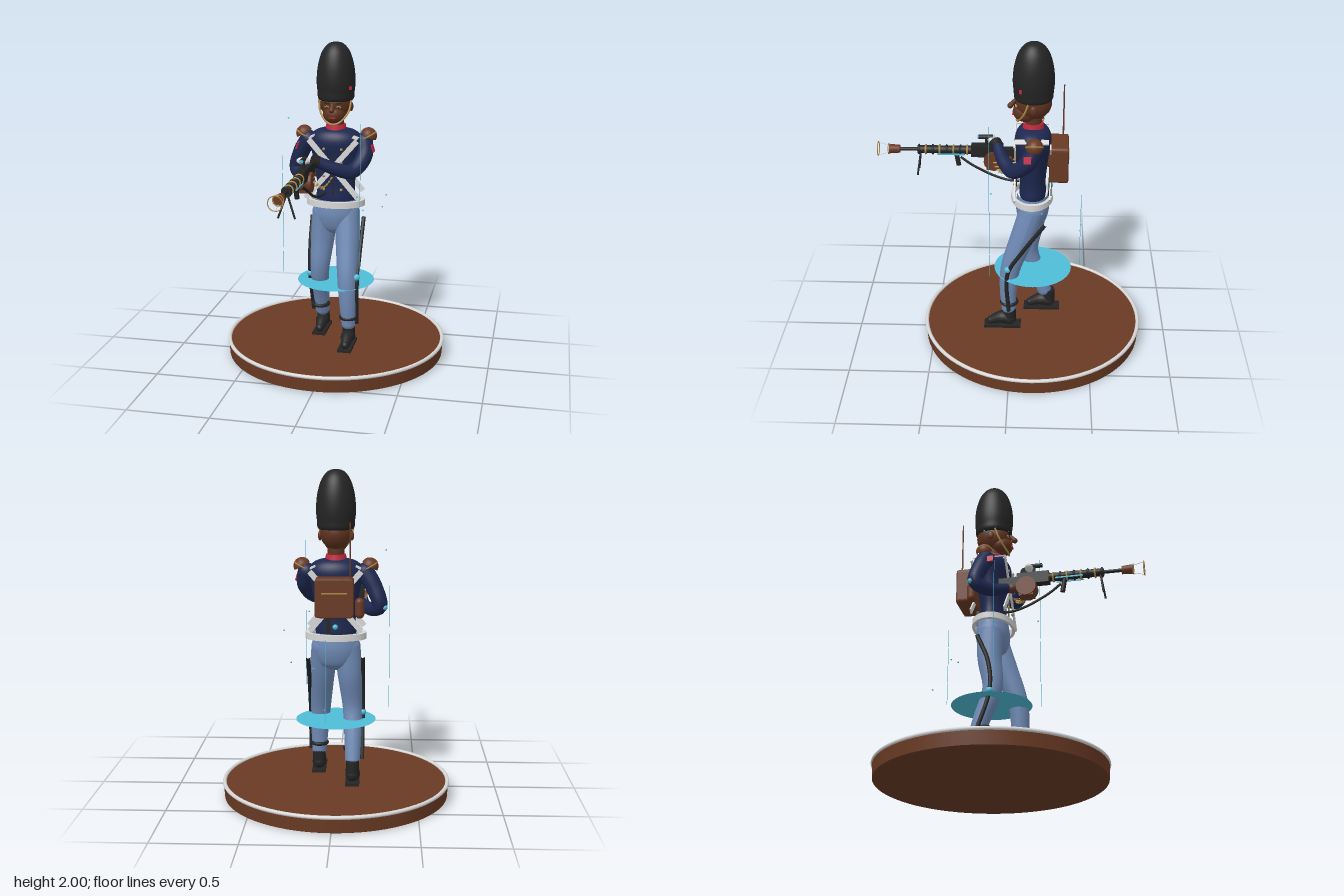
import * as THREE from 'three';

const mat = (name, color, side = THREE.FrontSide) => {
  const m = new THREE.MeshStandardMaterial({ color, side });
  m.name = name;
  return m;
};

export function createModel() {
  const root = new THREE.Group();
  root.name = 'toySoldier';
  const brown = mat('brown', 0x6a3a24, THREE.DoubleSide), silver = mat('silver', 0xd8d8d8);
  const cyan = mat('cyan', 0x4fbdd8, THREE.DoubleSide), navy = mat('navy', 0x1e2850);
  const blue = mat('trouserBlue', 0x6f8ab5), black = mat('black', 0x242424);
  const red = mat('red', 0xc22840), gold = mat('gold', 0xb08a45), skin = mat('skin', 0x5e3320);

  // ---- helpers ----
  const V = (p) => new THREE.Vector3(p[0], p[1], p[2]);
  const add = (name, geo, m, p = [0, 0, 0], r = [0, 0, 0], s = [1, 1, 1]) => {
    const mesh = new THREE.Mesh(geo, m);
    mesh.name = name;
    mesh.position.set(...p);
    mesh.rotation.set(...r);
    mesh.scale.set(...s);
    root.add(mesh);
    return mesh;
  };
  const box = (name, m, size, p, r) => add(name, new THREE.BoxGeometry(...size), m, p, r);
  const ball = (name, m, r, p, s) => add(name, new THREE.SphereGeometry(r, 24, 16), m, p, [0, 0, 0], s);
  const rod = (name, m, a, b, r, r2 = r, sides = 16) => {
    const d = V(b).sub(V(a));
    const mesh = add(name, new THREE.CylinderGeometry(r2, r, d.length(), sides), m);
    mesh.position.copy(V(a).add(V(b)).multiplyScalar(0.5));
    mesh.quaternion.setFromUnitVectors(new THREE.Vector3(0, 1, 0), d.normalize());
    return mesh;
  };
  const tube = (name, m, pts, r) =>
    add(name, new THREE.TubeGeometry(new THREE.CatmullRomCurve3(pts.map(V)), 32, r, 8), m);
  // tapered tube through [x, y, z, radius] points, with rounded ends
  const limb = (name, m, pts) => {
    const curve = new THREE.CatmullRomCurve3(pts.map(V)), seg = 28, rad = 18;
    const geo = new THREE.TubeGeometry(curve, seg, 1, rad);
    const pos = geo.attributes.position, v = new THREE.Vector3();
    for (let i = 0; i <= seg; i++) {
      const c = curve.getPointAt(i / seg), t = curve.getUtoTmapping(i / seg) * (pts.length - 1);
      const k = Math.min(Math.floor(t), pts.length - 2);
      const r = THREE.MathUtils.lerp(pts[k][3], pts[k + 1][3], t - k);
      for (let j = 0; j <= rad; j++) {
        const n = i * (rad + 1) + j;
        v.fromBufferAttribute(pos, n).sub(c).multiplyScalar(r).add(c);
        pos.setXYZ(n, v.x, v.y, v.z);
      }
    }
    geo.computeVertexNormals();
    add(name, geo, m);
    for (const p of [pts[0], pts[pts.length - 1]]) ball(name + 'End', m, p[3], p.slice(0, 3));
  };
  // smooth lathe through [radius, y] points
  const lathe = (name, m, pts, p, s) => {
    const c = new THREE.SplineCurve(pts.map((q) => new THREE.Vector2(...q)));
    const smooth = c.getPoints(32).map((q) => new THREE.Vector2(Math.max(0, q.x), q.y));
    return add(name, new THREE.LatheGeometry(smooth, 40), m, p, [0, 0, 0], s);
  };

  // ---- base and floating disc ----
  const baseZ = -0.135;
  add('base', new THREE.CylinderGeometry(0.695, 0.69, 0.09, 80), brown, [0, 0.05, baseZ]);
  add('baseFoot', new THREE.CylinderGeometry(0.69, 0.68, 0.006, 80), brown, [0, 0.003, baseZ]);
  add('baseRim', new THREE.TorusGeometry(0.69, 0.012, 10, 80), silver, [0, 0.095, baseZ], [Math.PI / 2, 0, 0]);
  add('floatingDisc', new THREE.CircleGeometry(0.245, 64), cyan, [0, 0.478, baseZ], [-Math.PI / 2, 0, 0]);

  // ---- thin upright lines and drifting sparks ----
  for (const [x, z, top] of [[0.2, 0.13, 1.55], [-0.325, -0.05, 1.295], [0.05, -0.43, 1.03]])
    rod('lightLine', cyan, [x, 0.53, z], [x, top, z], 0.0015, 0.0015, 6);
  for (const p of [[0.25, 0.895, -0.42], [0.05, 0.635, -0.525], [0.31, 1.04, -0.19],
    [0.18, 1.1, 0.12], [-0.3, 1.52, -0.12], [0.12, 0.86, -0.43]]) ball('spark', cyan, 0.005, p);

  // ---- legs, boots, side stripes ----
  lathe('pelvis', blue, [[0.04, 0.79], [0.11, 0.83], [0.143, 0.92], [0.13, 1.02]], [0, 0, -0.13], [1, 1, 0.72]);
  limb('leftLeg', blue, [[0.07, 0.93, -0.13, 0.08], [0.085, 0.76, -0.075, 0.076],
    [0.1, 0.52, 0.005, 0.062], [0.108, 0.36, 0.018, 0.054], [0.112, 0.24, 0.015, 0.046]]);
  limb('rightLeg', blue, [[-0.07, 0.93, -0.13, 0.08], [-0.085, 0.76, -0.13, 0.076],
    [-0.1, 0.55, -0.108, 0.06], [-0.105, 0.36, -0.17, 0.052], [-0.105, 0.24, -0.21, 0.046]]);
  const boot = (name, x, z) => {
    rod(name + 'Ankle', black, [x, 0.14, z], [x, 0.24, z], 0.042, 0.04);
    limb(name, black, [[x, 0.155, z, 0.043], [x, 0.16, z + 0.05, 0.042], [x, 0.135, z + 0.12, 0.026]]);
    box(name + 'Sole', black, [0.085, 0.015, 0.235], [x, 0.108, z + 0.045]);
  };
  boot('leftBoot', 0.112, 0.01);
  boot('rightBoot', -0.105, -0.24);
  tube('leftStripe', black, [[0.165, 0.88, -0.21], [0.165, 0.68, -0.07], [0.165, 0.52, 0.02], [0.162, 0.24, 0.015]], 0.013);
  tube('rightStripe', black, [[-0.165, 0.88, -0.19], [-0.165, 0.7, -0.12], [-0.165, 0.52, -0.11], [-0.162, 0.24, -0.2]], 0.013);
  ball('leftKneeStud', cyan, 0.021, [0.163, 0.55, 0.02]);
  ball('rightKneeStud', cyan, 0.021, [-0.165, 0.515, -0.11]);
  add('leftAnkleStrap', new THREE.TorusGeometry(0.048, 0.012, 8, 32), black, [0.11, 0.28, 0.012], [Math.PI / 2, 0, 0]);
  add('rightAnkleStrap', new THREE.TorusGeometry(0.05, 0.012, 8, 32), black, [-0.105, 0.295, -0.15], [Math.PI / 2, 0, 0]);

  // ---- jacket, belt hoop, cross straps ----
  lathe('jacket', navy, [[0, 1.0], [0.115, 1.0], [0.12, 1.12], [0.145, 1.28], [0.168, 1.39], [0.13, 1.45], [0.05, 1.475]],
    [0, 0, -0.13], [1, 1, 0.66]);
  const hoop = [[0.16, 0.983], [0.185, 0.983], [0.185, 1.022], [0.16, 1.022], [0.16, 0.983]];
  add('beltHoop', new THREE.LatheGeometry(hoop.map((q) => new THREE.Vector2(...q)), 64).toNonIndexed(),
    silver, [0, 0, -0.127], [0, 0, 0], [1, 1, 0.7]).geometry.computeVertexNormals();
  for (const s of [-1, 1]) {
    // front strap and back strap
    box('frontStrap', silver, [0.034, 0.49, 0.009], [-s * 0.01, 1.225, -0.022], [0, 0, -s * 0.71]);
    box('backStrap', silver, [0.034, 0.47, 0.009], [0, 1.225, -0.236], [0, 0, s * 0.71]);
    box('shoulderStrap', silver, [0.034, 0.009, 0.2], [s * 0.135, 1.425, -0.125], [0, 0, -s * 0.5]);
    for (let i = 0; i < 4; i++) ball('button', gold, 0.009, [s * 0.055, 1.1 + i * 0.085, -0.02]);
    // epaulettes, shoulder pads and badges
    add('epaulette', new THREE.SphereGeometry(0.052, 28, 10, 0, Math.PI * 2, 0, Math.PI / 2), brown,
      [s * 0.203, 1.425, -0.14], [0, 0, -s * 0.5]);
    add('epauletteTrim', new THREE.TorusGeometry(0.05, 0.005, 6, 32), gold, [s * 0.203, 1.425, -0.14], [Math.PI / 2, s * 0.5, 0]);
    box('sleeveBadge', red, [0.008, 0.045, 0.045], [s * 0.238, 1.355, -0.1], [0, 0, s * 0.3]);
  }
  box('jacketSeam', black, [0.008, 0.36, 0.008], [0, 1.24, -0.03]);

  // ---- arms ----
  limb('rightArm', navy, [[-0.175, 1.39, -0.14, 0.055], [-0.225, 1.31, -0.16, 0.052],
    [-0.265, 1.19, -0.18, 0.045], [-0.21, 1.16, -0.11, 0.042], [-0.155, 1.18, -0.02, 0.034]]);
  limb('leftArm', navy, [[0.175, 1.39, -0.14, 0.055], [0.185, 1.31, -0.1, 0.052],
    [0.125, 1.225, -0.01, 0.045], [0.03, 1.25, 0.05, 0.041], [-0.07, 1.3, 0.09, 0.034]]);
  ball('rightHand', skin, 0.032, [-0.14, 1.185, 0.02], [0.9, 1, 1.2]);
  rod('leftCuff', black, [-0.065, 1.298, 0.088], [-0.1, 1.312, 0.105], 0.038);
  ball('leftGlove', silver, 0.032, [-0.15, 1.31, 0.13], [1.3, 0.7, 0.8]);
  ball('elbowStud', cyan, 0.016, [-0.295, 1.185, -0.205]);
  ball('beltStud', cyan, 0.016, [0, 1.07, -0.24]);

  // ---- collar and head ----
  const hz = -0.13;
  rod('collar', red, [0, 1.45, hz], [0, 1.495, hz], 0.067, 0.06, 32);
  rod('neck', skin, [0, 1.48, hz], [0, 1.56, hz], 0.05);
  ball('skull', skin, 0.1, [0, 1.625, hz], [0.95, 1.05, 1.1]);
  ball('jaw', skin, 0.075, [0, 1.565, -0.085], [0.95, 0.85, 1.05]);
  limb('nose', skin, [[0, 1.635, -0.022, 0.012], [0, 1.6, 0.008, 0.017]]);
  box('mouth', red, [0.04, 0.007, 0.008], [0, 1.552, -0.008]);
  for (const s of [-1, 1]) {
    ball('ear', skin, 0.024, [s * 0.096, 1.605, hz], [0.5, 1.2, 0.9]);
    ball('eye', gold, 0.013, [s * 0.037, 1.615, -0.028], [1.2, 0.6, 0.7]);
    ball('pupil', black, 0.006, [s * 0.037, 1.615, -0.019], [1, 1, 0.6]);
    box('eyebrow', black, [0.035, 0.007, 0.009], [s * 0.037, 1.638, -0.022], [0, 0, s * 0.15]);
  }
  tube('chinStrap', gold, [[-0.101, 1.65, -0.1], [-0.088, 1.58, -0.075], [-0.04, 1.52, -0.04],
    [0, 1.508, -0.03], [0.04, 1.52, -0.04], [0.088, 1.58, -0.075], [0.101, 1.65, -0.1]], 0.006);
  const hat = lathe('furHat', black, [[0, 1.645], [0.1, 1.645], [0.114, 1.7], [0.119, 1.77], [0.11, 1.86],
    [0.085, 1.94], [0.045, 1.988], [0, 2]], [0, 0, -0.13], [1, 1, 1.04]);
  hat.geometry.computeVertexNormals();
  box('hatBadge', red, [0.009, 0.022, 0.016], [0.104, 1.73, -0.055], [0, -0.75, 0]);

  // ---- backpack, aerial, pouch ----
  const pack = new THREE.Shape();
  const w = 0.115, h = 0.117, c = 0.025;
  pack.moveTo(-w + c, -h).lineTo(w - c, -h).quadraticCurveTo(w, -h, w, -h + c).lineTo(w, h - c)
    .quadraticCurveTo(w, h, w - c, h).lineTo(-w + c, h).quadraticCurveTo(-w, h, -w, h - c)
    .lineTo(-w, -h + c).quadraticCurveTo(-w, -h, -w + c, -h);
  add('backpack', new THREE.ExtrudeGeometry(pack, { depth: 0.095, bevelSize: 0.008, bevelThickness: 0.01,
    bevelOffset: -0.008, bevelSegments: 3 }), brown, [0.003, 1.258, -0.335]);
  box('packTrim', gold, [0.15, 0.008, 0.008], [0.003, 1.29, -0.346]);
  rod('aerial', brown, [-0.09, 1.37, -0.312], [-0.09, 1.7, -0.312], 0.005, 0.004, 8);
  limb('hipPouch', brown, [[-0.145, 1.15, -0.235, 0.028], [-0.145, 1.22, -0.235, 0.028]]);
  box('scabbard', black, [0.03, 0.11, 0.02], [0.04, 1.08, -0.236]);

  // ---- rifle, along z ----
  const gx = -0.14, gy = 1.235;
  const along = (name, m, z0, z1, r, r2) => rod(name, m, [gx, gy, z0], [gx, gy, z1], r, r2, 20);
  box('receiver', black, [0.055, 0.075, 0.2], [gx, gy, 0.155]);
  box('stock', black, [0.045, 0.06, 0.12], [gx, gy - 0.015, 0.0]);
  along('barrelJacket', black, 0.25, 0.59, 0.027, 0.024);
  for (let i = 0; i < 8; i++)
    add('coolingRing', new THREE.TorusGeometry(0.027, 0.006, 8, 24), i % 2 ? black : gold, [gx, gy, 0.28 + i * 0.043]);
  along('barrel', black, 0.58, 0.71, 0.011, 0.011);
  along('muzzle', brown, 0.7, 0.765, 0.025, 0.03);
  add('frontSightRing', new THREE.TorusGeometry(0.043, 0.003, 6, 32), gold, [gx, gy, 0.835]);
  add('rearSightRing', new THREE.TorusGeometry(0.032, 0.003, 6, 32), gold, [gx, gy, 0.77]);
  for (const s of [-1, 1]) {
    rod('sightStay', silver, [gx, gy + s * 0.025, 0.765], [gx, gy + s * 0.043, 0.835], 0.002, 0.002, 6);
    rod('bipodLeg', black, [gx, gy - 0.01, 0.57], [gx + s * 0.05, 1.08, 0.59], 0.006);
    box('sideLight', cyan, [0.007, 0.008, 0.17], [gx + s * 0.028, gy - 0.02, 0.38]);
  }
  rod('foreGrip', black, [gx, 1.215, 0.35], [gx, 1.13, 0.335], 0.015);
  rod('sightPost', black, [gx, 1.26, 0.16], [gx, 1.32, 0.16], 0.01);
  rod('scope', black, [gx, 1.325, 0.12], [gx, 1.325, 0.21], 0.014);
  rod('scopeLens', cyan, [gx, 1.325, 0.21], [gx, 1.325, 0.214], 0.011);
  // ammunition drum and cartridge belt
  rod('drum', brown, [gx - 0.045, 1.175, 0.115], [gx + 0.045, 1.175, 0.115], 0.062, 0.062, 28);
  box('drumBox', brown, [0.07, 0.07, 0.09], [gx, 1.15, 0.115]);
  for (let i = 0; i < 9; i++) {
    const t = i / 8, y = 1.2 - 0.06 * Math.sin(t * Math.PI) - 0.02 * t;
    rod('cartridge', gold, [gx + 0.04 + t * 0.1, y, 0.09 - t * 0.09], [gx + 0.04 + t * 0.1, y, 0.13 - t * 0.09], 0.007, 0.004, 8);
  }
  tube('feedHose', black, [[gx + 0.03, 1.2, 0.32], [-0.095, 1.155, 0.25], [-0.085, 1.09, 0.12],
    [-0.07, 1.065, 0.02], [-0.05, 1.07, -0.05]], 0.008);

  return root;
}
